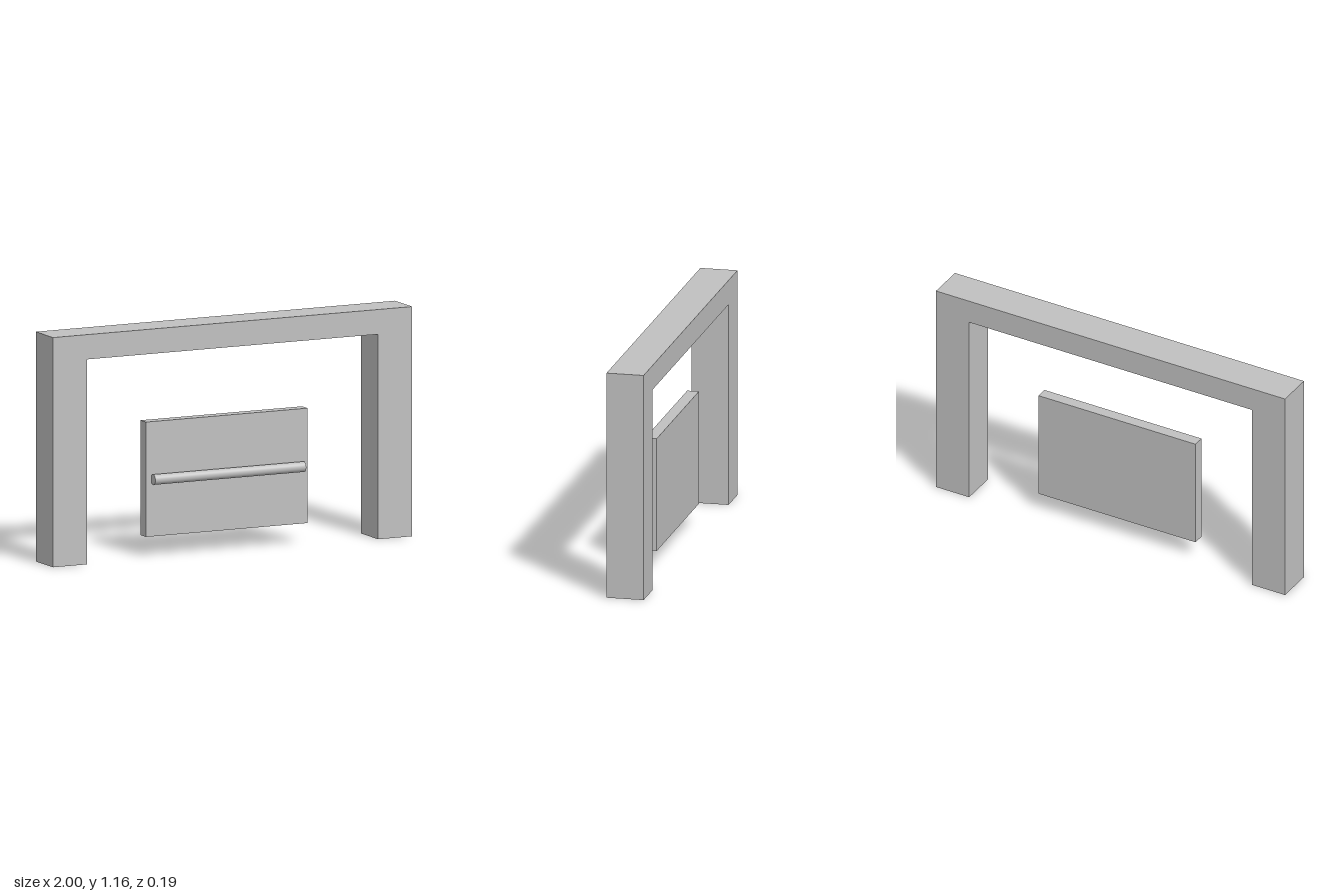
import * as THREE from 'three';

export function createModel() {
  const model = new THREE.Group();
  const grey = new THREE.MeshStandardMaterial({ color: 0xc0c0c0 });
  grey.name = 'grey';

  const add = (name, geometry, x, y, z) => {
    const mesh = new THREE.Mesh(geometry, grey);
    mesh.name = name;
    mesh.position.set(x, y, z);
    model.add(mesh);
    return mesh;
  };

  // One-piece arch: two legs joined by a top beam
  const depth = 0.19, height = 1.16, inner = 0.81, beamBottom = 1.035;
  const outline = new THREE.Shape([
    [-1, 0], [-inner, 0], [-inner, beamBottom], [inner, beamBottom],
    [inner, 0], [1, 0], [1, height], [-1, height],
  ].map(([x, y]) => new THREE.Vector2(x, y)));
  add('archFrame', new THREE.ExtrudeGeometry(outline, { depth, bevelEnabled: false }), 0, 0, -depth / 2);

  // Free-standing panel inside the arch
  add('panel', new THREE.BoxGeometry(0.9, 0.58, 0.06), 0, 0.39, 0);

  // Horizontal bar across the panel's front
  const bar = add('bar', new THREE.CylinderGeometry(0.026, 0.026, 0.84, 32), 0, 0.39, 0.05);
  bar.rotation.z = Math.PI / 2;

  return model;
}
